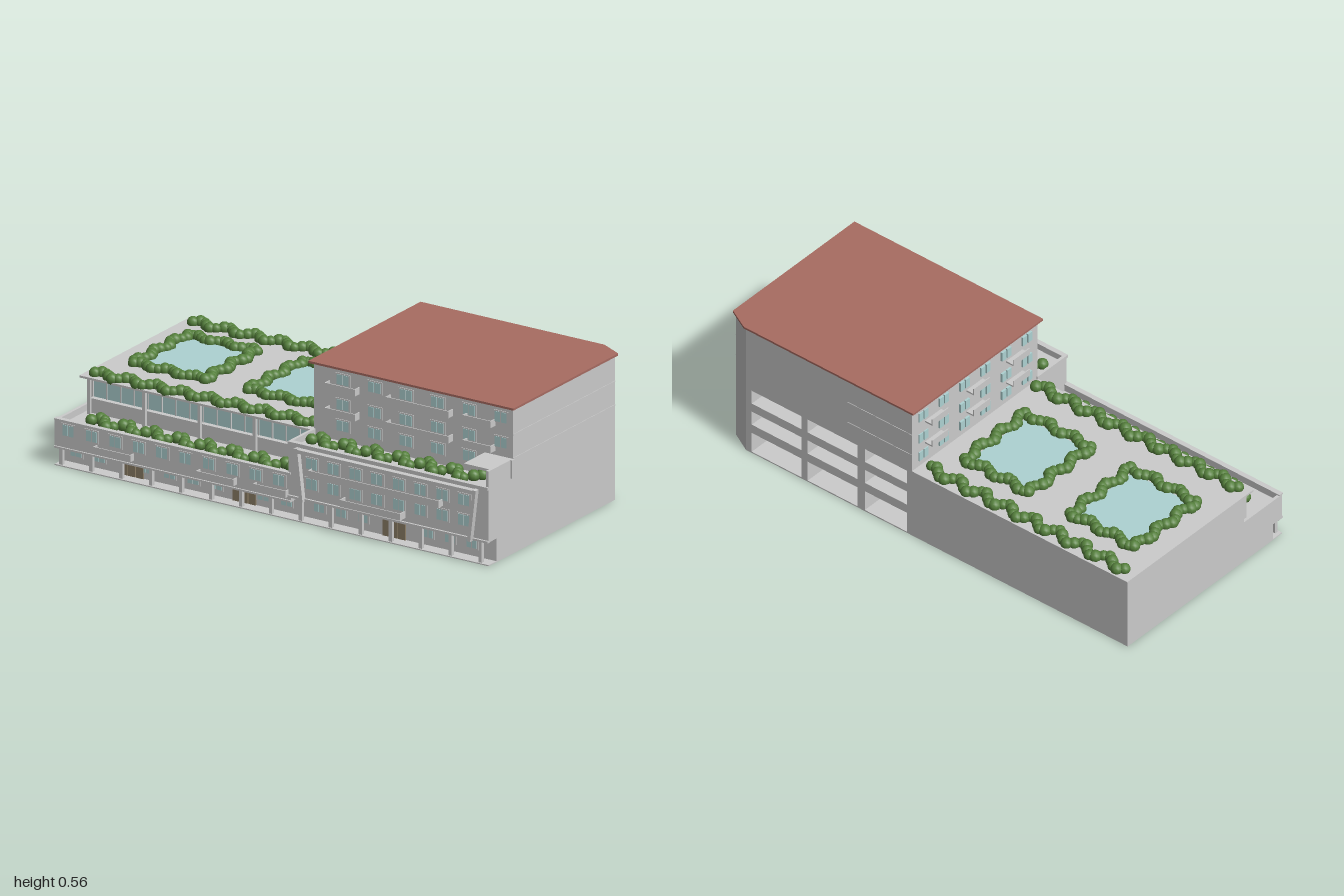
import * as THREE from 'three';
import { mergeGeometries } from 'three/addons/utils/BufferGeometryUtils.js';

const mat = (color) => new THREE.MeshStandardMaterial({ color });
const GREY = mat(0xcccccc), GLASS = mat(0xaed2d2), ROOF = mat(0xa86c62);
const LEAF = mat(0x55803c), WOOD = mat(0x8c7e66);

// Plan coordinates: u runs along the long street side, v runs inward from it.
const block = (u0, u1, y0, y1, v0, v1) =>
  new THREE.BoxGeometry(u1 - u0, y1 - y0, v1 - v0)
    .translate((u0 + u1) / 2, (y0 + y1) / 2, -(v0 + v1) / 2);

// Prism standing on a plan outline
const prism = (pts, y0, y1) =>
  new THREE.ExtrudeGeometry(new THREE.Shape(pts.map((p) => new THREE.Vector2(...p))),
    { depth: y1 - y0, bevelEnabled: false }).rotateX(-Math.PI / 2).translate(0, y0, 0);

export function createModel() {
  const model = new THREE.Group();
  model.name = 'terracedBuilding';
  const site = new THREE.Group();
  site.name = 'building';
  site.position.set(-0.88, 0, -0.5);
  site.rotation.y = -0.937;
  model.add(site);

  const add = (name, geos, material = GREY) => {
    const list = [].concat(geos).map((g) => (g.index ? g.toNonIndexed() : g));
    const mesh = new THREE.Mesh(mergeGeometries(list), material);
    mesh.name = name;
    site.add(mesh);
  };

  // Low wing with a sunken terrace behind a parapet
  add('groundSlab', block(0, 1.855, 0, 0.004, 0, 0.8));
  add('lowWing', [
    block(0, 1, 0, 0.285, 0.21, 0.855),
    block(0, 1, 0, 0.15, 0.05, 0.21),
    block(0, 1.01, 0.07, 0.15, 0, 0.05),
    block(0, 1.01, 0.15, 0.175, 0, 0.012),
    block(0, 0.012, 0.15, 0.175, 0.012, 0.21),
    block(0.03, 0.98, 0.15, 0.205, 0.18, 0.21),
    block(0, 1.01, 0.174, 0.18, -0.006, 0.014),
    block(0, 1.01, 0.068, 0.075, -0.006, 0.02),
  ]);
  add('lowRoof', block(0, 1, 0.283, 0.291, 0.158, 0.857));
  add('terraceGlazing', block(0.03, 0.99, 0.205, 0.283, 0.2, 0.212), GLASS);
  const mullions = [];
  for (let i = 0; i <= 16; i++) {
    const u = 0.03 + i * 0.059;
    mullions.push(block(u, u + 0.004, 0.205, 0.283, 0.196, 0.2));
    if (i % 4 === 0) mullions.push(block(u, u + 0.012, 0.15, 0.284, 0.162, 0.174));
  }
  add('mullionsAndPosts', mullions);

  // Front wing, three storeys with a planted roof
  add('frontWing', [
    block(1, 1.855, 0, 0.275, 0.05, 0.16),
    block(1.01, 1.855, 0.09, 0.275, 0, 0.05),
    block(1.01, 1.855, 0.275, 0.3, 0, 0.012),
    block(1.0, 1.012, 0.15, 0.3, 0, 0.16),
    block(1.0, 1.855, 0.288, 0.3, -0.008, 0.006),
    block(1.0, 1.855, 0.088, 0.096, -0.008, 0.01),
    block(1.843, 1.855, 0.09, 0.36, 0, 0.16),
  ]);
  add('cornerCanopy', block(1.735, 1.855, 0.35, 0.36, 0.02, 0.16));
  add('cornerPost', block(1.845, 1.862, 0.29, 0.36, 0.14, 0.158));
  const struts = [];
  for (const s of [-1, 1]) {
    struts.push(new THREE.BoxGeometry(0.014, 0.2, 0.02).rotateZ(-s * 0.12)
      .translate(1.425 + s * 0.37, 0.185, 0.012));
  }
  struts.push(block(1.04, 1.81, 0.268, 0.282, -0.022, 0));
  add('facadeFrame', struts);

  // Arcade columns
  const columns = [];
  for (let i = 0; i < 15; i++) {
    const u = 0.015 + i * 0.128;
    columns.push(block(u, u + 0.014, 0, u < 1 ? 0.07 : 0.09, 0.006, 0.02));
  }
  add('arcadeColumns', columns);

  // Tower: core, chamfered corner and a side wall with deep openings
  add('towerCore', [
    block(1.005, 1.855, 0, 0.55, 0.155, 0.717),
    prism([[1.76, 0.717], [1.855, 0.717], [1.855, 0.81], [1.772, 0.855], [1.76, 0.855]], 0, 0.55),
  ]);
  const wall = new THREE.Shape([[1.0, 0], [1.76, 0], [1.76, 0.55], [1.0, 0.55]]
    .map((p) => new THREE.Vector2(...p)));
  for (const [a, b] of [[1.025, 1.22], [1.255, 1.485], [1.515, 1.745]]) {
    for (const [c, d] of [[0.005, 0.09], [0.127, 0.186], [0.222, 0.28]]) {
      wall.holes.push(new THREE.Path([[a, c], [a, d], [b, d], [b, c]]
        .map((p) => new THREE.Vector2(...p))));
    }
  }
  add('sideWall', new THREE.ExtrudeGeometry(wall, { depth: 0.138, bevelEnabled: false })
    .translate(0, 0, -0.855));
  add('floorLines', [0.36, 0.45].flatMap((y) => [
    block(1.85, 1.857, y, y + 0.003, 0.155, 0.81),
    block(1.0, 1.3, y, y + 0.003, 0.85, 0.857)]));
  add('towerRoof', prism([[0.99, 0.142], [1.866, 0.142], [1.866, 0.815], [1.776, 0.862],
    [0.99, 0.862]], 0.549, 0.557), ROOF);

  // Windows, doors and balconies
  const frames = [], panes = [], doors = [], balconies = [];
  const streetWindow = (u, y, w, h, v) => {
    frames.push(block(u - w / 2 - 0.005, u + w / 2 + 0.005, y - 0.005, y + h + 0.005, v - 0.003, v + 0.002));
    for (const s of [-1, 1]) {
      const c = u + s * w / 4;
      panes.push(block(c - w / 4 + 0.002, c + w / 4 - 0.002, y, y + h, v - 0.005, v));
    }
  };
  const balcony = (u0, u1, y, v, out) => {
    balconies.push(block(u0, u1, y, y + 0.005, v - out, v),
      block(u0, u1, y, y + 0.026, v - out, v - out + 0.004),
      block(u0, u0 + 0.004, y, y + 0.026, v - out, v),
      block(u1 - 0.004, u1, y, y + 0.026, v - out, v));
  };
  for (let i = 0; i < 10; i++) {
    streetWindow(0.06 + i * 0.1, 0.122, 0.05, 0.04, 0);
    if (i % 5 !== 2) streetWindow(0.06 + i * 0.1, 0.03, 0.05, 0.032, 0.05);
  }
  for (let i = 0; i < 8; i++) {
    const u = 1.1 + i * 0.093;
    for (const y of [0.135, 0.212]) streetWindow(u, y, 0.05, 0.04, 0);
    if (i !== 3 && i !== 4) streetWindow(u, 0.035, 0.045, 0.035, 0.05);
  }
  for (const u of [0.3, 0.78, 1.42]) {
    for (const d of [-0.034, 0, 0.034]) doors.push(block(u + d - 0.015, u + d + 0.015, 0.004, 0.066, 0.044, 0.05));
  }
  balcony(0.18, 0.34, 0.088, 0, 0.025);
  balcony(0.62, 0.78, 0.088, 0, 0.025);
  balcony(0.86, 1.0, 0.088, 0, 0.02);
  balcony(1.1, 1.66, 0.19, 0, 0.028);
  balcony(1.24, 1.5, 0.11, 0, 0.035);

  for (const y of [0.315, 0.395, 0.49]) {
    for (let i = 0; i < 6; i++) {
      streetWindow(1.13 + i * 0.135, y, 0.055, 0.038, 0.155);
      // Matching windows on the tower face over the low roof
      const v = 0.22 + i * 0.115;
      for (const s of [-1, 1]) {
        panes.push(block(0.996, 1.004, y, y + 0.038, v + s * 0.014 - 0.011, v + s * 0.014 + 0.011));
      }
    }
    if (y > 0.35) {
      for (const [a, b] of [[1.07, 1.2], [1.33, 1.6], [1.66, 1.78]]) balcony(a, b, y - 0.02, 0.155, 0.03);
      for (const v of [0.29, 0.51, 0.74]) {
        balconies.push(block(0.965, 1, y - 0.02, y - 0.014, v - 0.045, v + 0.045),
          block(0.965, 0.969, y - 0.02, y + 0.008, v - 0.045, v + 0.045));
      }
    }
  }
  add('windowFrames', frames);
  add('windowPanes', panes, GLASS);
  add('doors', doors, WOOD);
  add('balconies', balconies);

  // Roof skylights
  for (const u of [0.12, 0.61]) add('skylight', block(u, u + 0.27, 0.285, 0.296, 0.365, 0.675), GLASS);

  // Hedges: rounded shrubs swaying along a path
  const hedge = (name, pts, y, sway, r = 0.022, close = false) => {
    const shrubs = [];
    let n = 0;
    const ends = close ? [...pts, pts[0]] : pts;
    for (let k = 0; k < ends.length - 1; k++) {
      const a = new THREE.Vector2(...ends[k]), d = new THREE.Vector2(...ends[k + 1]).sub(a);
      const len = d.length(), steps = Math.round(len / 0.021);
      d.divideScalar(len);
      for (let i = 0; i < steps; i++, n++) {
        const t = i * len / steps, o = sway * Math.sin(n * 1.15);
        shrubs.push(new THREE.SphereGeometry(r * (1 + 0.1 * Math.sin(n * 2.3)), 10, 7)
          .translate(a.x + d.x * t - d.y * o, y, -(a.y + d.y * t + d.x * o)));
      }
    }
    add(name, shrubs, LEAF);
  };
  for (const u of [0.105, 0.595]) {
    hedge('skylightHedge', [[u, 0.35], [u + 0.3, 0.35], [u + 0.3, 0.69], [u, 0.69]], 0.3, 0.014, 0.022, true);
  }
  hedge('edgeHedge', [[0.05, 0.812], [0.98, 0.812]], 0.3, 0.02);
  hedge('roofHedge', [[0.045, 0.19], [0.99, 0.2]], 0.3, 0.018);
  hedge('terraceHedge', [[0.1, 0.085], [0.98, 0.08]], 0.165, 0.032);
  hedge('frontHedge', [[1.045, 0.08], [1.77, 0.085]], 0.289, 0.035);
  return model;
}
